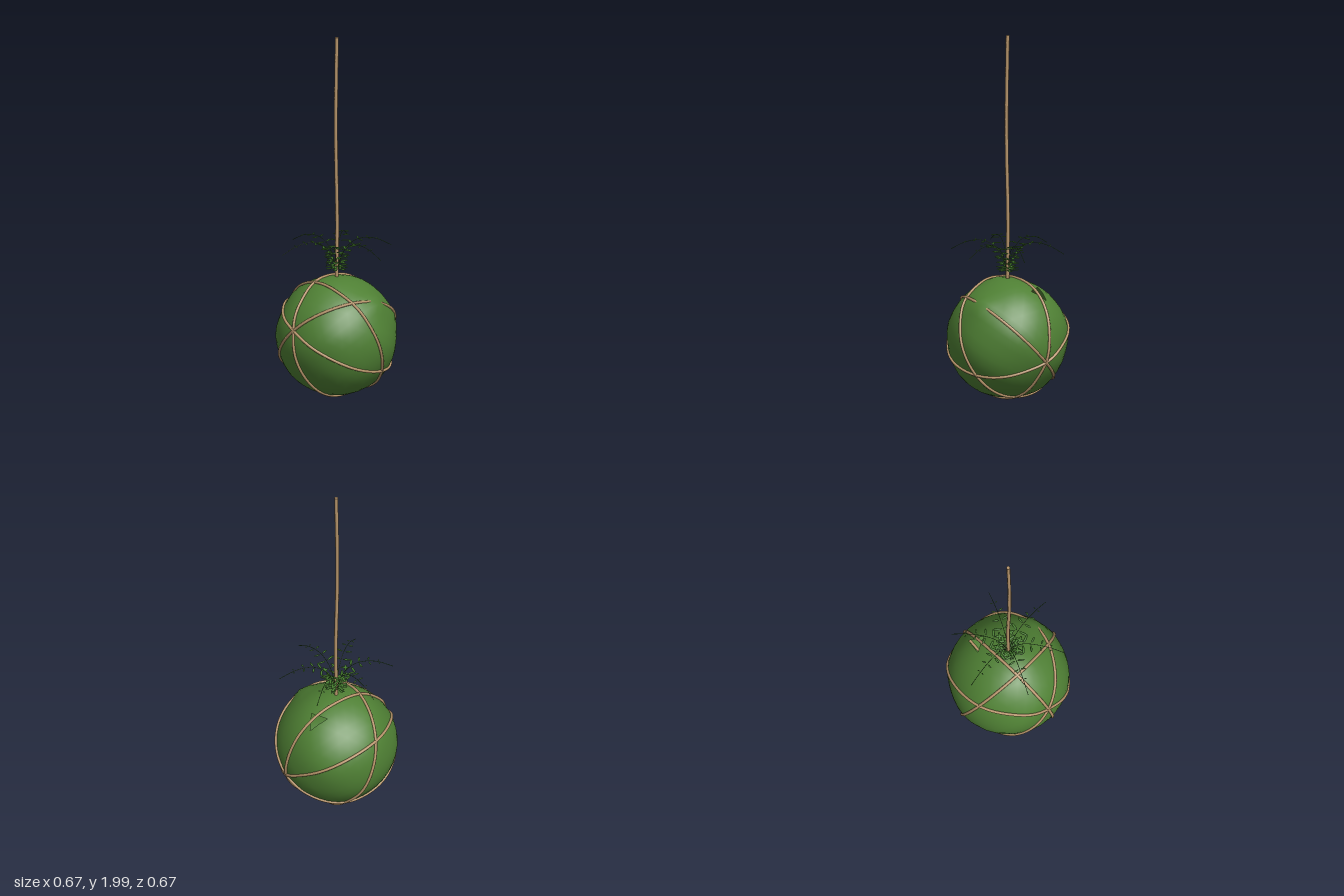
import * as THREE from 'three';
import { mergeVertices, mergeGeometries } from 'three/addons/utils/BufferGeometryUtils.js';

const V = (x, y, z) => new THREE.Vector3(x, y, z);
const CENTER_Y = 0.337;

// Gently lumpy radius of the moss ball in a given direction
function mossRadius(d) {
  return 0.326 + 0.002 * Math.sin(7 * d.x + 3 * d.y + 1) + 0.002 * Math.sin(6 * d.z - 5 * d.y)
    + 0.0015 * Math.sin(9 * d.y + 4 * d.x - 5 * d.z);
}

// Moss ball with a swelling that swallows a twine and a small opening near the top
function mossBall() {
  const ico = new THREE.IcosahedronGeometry(1, 6);
  ico.deleteAttribute('normal');
  ico.deleteAttribute('uv');
  const geo = mergeVertices(ico, 1e-4);
  const pos = geo.attributes.position;
  const swelling = V(0.04, 0.225, 0.25).normalize();
  const p = V();
  for (let i = 0; i < pos.count; i++) {
    p.fromBufferAttribute(pos, i).normalize();
    const bump = 0.02 * Math.exp(-p.distanceToSquared(swelling) / 0.03);
    p.multiplyScalar(mossRadius(p) + bump);
    pos.setXYZ(i, p.x, p.y, p.z);
  }
  geo.computeVertexNormals();
  const hole = V(0.18, 0.268, -0.046);
  const kept = [];
  const idx = geo.index.array;
  for (let i = 0; i < idx.length; i += 3) {
    const mid = V();
    for (let k = 0; k < 3; k++) mid.add(p.fromBufferAttribute(pos, idx[i + k]));
    if (mid.divideScalar(3).distanceTo(hole) > 0.045) kept.push(idx[i], idx[i + 1], idx[i + 2]);
  }
  geo.setIndex(kept);
  return geo;
}

// Twine loop around the ball through two given directions
function twineLoop(a, b) {
  const u = a.clone().normalize();
  const w = b.clone().addScaledVector(u, -b.dot(u)).normalize();
  const pts = [];
  for (let i = 0; i < 48; i++) {
    const t = (i / 48) * Math.PI * 2;
    const d = u.clone().multiplyScalar(Math.cos(t)).addScaledVector(w, Math.sin(t));
    pts.push(d.multiplyScalar(mossRadius(d) + 0.002));
  }
  return new THREE.TubeGeometry(new THREE.CatmullRomCurve3(pts, true), 96, 0.008, 8, true);
}

// Arching frond pointing to +x: returns the stem and its paired level leaflets
function frondParts() {
  const curve = new THREE.CatmullRomCurve3([
    V(0.004, 0.655, 0), V(0.015, 0.74, 0), V(0.05, 0.815, 0), V(0.1, 0.855, 0),
    V(0.16, 0.866, 0), V(0.23, 0.852, 0), V(0.311, 0.81, 0),
  ]);
  const leaflets = [];
  const pairs = 9;
  for (let i = 0; i < pairs; i++) {
    const t = 0.12 + 0.68 * (i / (pairs - 1)) ** 1.5;
    const at = curve.getPointAt(t);
    const length = t < 0.45 ? 0.05 : 0.05 - 0.038 * (t - 0.45) / 0.35;
    for (const side of [-1, 1]) {
      const along = V(0.25, 0, side).normalize();
      const up = V(0, 1, 0);
      const across = V().crossVectors(along, up);
      const leaf = new THREE.SphereGeometry(1, 8, 6);
      leaf.rotateZ(-Math.PI / 2);
      leaf.scale(length / 2, 0.003, 0.002 + length * 0.1);
      const center = at.clone().addScaledVector(along, length * 0.5 + 0.008);
      leaf.applyMatrix4(new THREE.Matrix4().makeBasis(along, up, across).setPosition(center));
      leaflets.push(leaf);
    }
  }
  return { stem: new THREE.TubeGeometry(curve, 28, 0.0017, 5), leaves: mergeGeometries(leaflets) };
}

export function createModel() {
  const mat = (name, color, side = THREE.FrontSide) => {
    const m = new THREE.MeshStandardMaterial({ color, side });
    m.name = name;
    return m;
  };
  const moss = mat('mossGreen', 0x4f8034, THREE.DoubleSide);
  const twine = mat('twineTan', 0xb6946a);
  const leafGreen = mat('leafGreen', 0x47802f);
  const stemGreen = mat('stemGreen', 0x3a682a);

  const model = new THREE.Group();
  model.name = 'hangingMossBall';
  const add = (parent, name, geo, material) => {
    const mesh = new THREE.Mesh(geo, material);
    mesh.name = name;
    parent.add(mesh);
    return mesh;
  };

  add(model, 'mossBall', mossBall(), moss).position.y = CENTER_Y;

  // Three loops share a knot on each side, the fourth runs front to back
  const knot = V(0.32, -0.085, 0.04);
  const loops = [
    [knot, V(0, 0.155, -0.295)],
    [knot, V(0, 0.325, -0.055)],
    [knot, V(0, 0.235, 0.245)],
    [V(-0.03, 0, 0.33), V(-0.12, 0.31, 0)],
  ];
  const wrap = new THREE.Group();
  wrap.name = 'twineWrap';
  wrap.position.y = CENTER_Y;
  loops.forEach(([a, b], i) => add(wrap, `twineLoop${i + 1}`, twineLoop(a, b), twine));
  model.add(wrap);

  // Hanging cord with a slight bow, closed at the top
  const cord = new THREE.CatmullRomCurve3([
    V(0, 0.64, 0), V(0.003, 1, 0), V(-0.006, 1.35, 0), V(-0.007, 1.6, 0), V(0.001, 2, 0),
  ]);
  add(model, 'hangingCord', new THREE.TubeGeometry(cord, 32, 0.01, 8), twine);
  const cap = add(model, 'cordEnd', new THREE.CircleGeometry(0.01, 8), twine);
  cap.rotation.x = -Math.PI / 2;
  cap.position.set(0.001, 2, 0);

  // Six fronds around the cord
  const parts = frondParts();
  for (let i = 0; i < 6; i++) {
    const frond = new THREE.Group();
    frond.name = `frond${i + 1}`;
    frond.rotation.y = Math.PI / 6 + (i * Math.PI) / 3;
    add(frond, 'frondStem', parts.stem, stemGreen);
    add(frond, 'leaflets', parts.leaves, leafGreen);
    model.add(frond);
  }
  return model;
}
